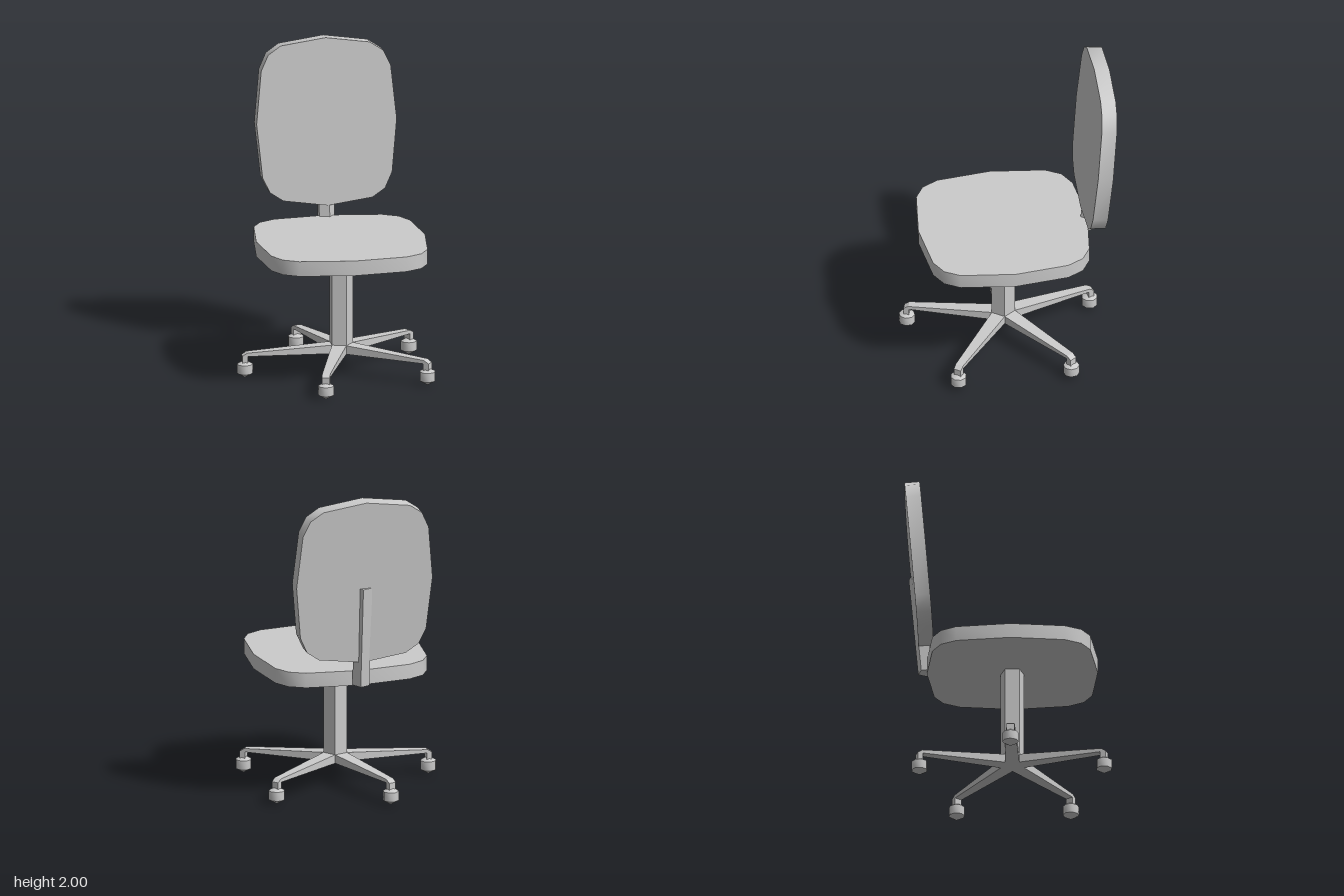
import * as THREE from 'three';
import { toCreasedNormals } from 'three/addons/utils/BufferGeometryUtils.js';

const CX = 0.055, CZ = 0.022; // axis of the column
const smooth = new THREE.MeshStandardMaterial({ color: 0xcccccc });
const flat = new THREE.MeshStandardMaterial({ color: 0xcccccc, flatShading: true });

function part(name, geometry, material) {
  const mesh = new THREE.Mesh(geometry, material);
  mesh.name = name;
  return mesh;
}

// Padded panel with rounded corners, 16 sided, centred on its own middle
function cushion(name, scaleX) {
  const quarter = [[0.53, 0], [0.49, 0.34], [0.435, 0.435], [0.335, 0.49]];
  const points = [];
  for (let q = 0; q < 4; q++) {
    for (const [x, y] of quarter) {
      const p = new THREE.Vector2(x, y).rotateAround(new THREE.Vector2(), q * Math.PI / 2);
      points.push(p.setX(p.x * scaleX));
    }
  }
  const depth = 0.095;
  const geo = new THREE.ExtrudeGeometry(new THREE.Shape(points), { depth, bevelEnabled: false });
  geo.translate(0, 0, -depth / 2);
  return part(name, toCreasedNormals(geo, 0.75), smooth);
}

// Five-sided post with one edge toward +x
function post(name, radius, height) {
  return part(name, new THREE.CylinderGeometry(radius, radius, height, 5, 1, false, Math.PI / 2), flat);
}

// Leg: side profile extruded, then narrowed toward the tip
function legGeometry() {
  const profile = [[0.062, 0.14], [0.585, 0.14], [0.585, 0.09], [0.62, 0.09],
    [0.62, 0.143], [0.59, 0.162], [0.062, 0.195]];
  const shape = new THREE.Shape(profile.map(([x, y]) => new THREE.Vector2(x, y)));
  const geo = new THREE.ExtrudeGeometry(shape, { depth: 2, bevelEnabled: false });
  geo.translate(0, 0, -1);
  const pos = geo.attributes.position;
  for (let i = 0; i < pos.count; i++) {
    const t = (pos.getX(i) - 0.062) / 0.53;
    pos.setZ(i, pos.getZ(i) * THREE.MathUtils.lerp(0.045, 0.025, t));
  }
  return geo;
}

export function createModel() {
  const model = new THREE.Group();
  model.name = 'officeChair';

  // Seat
  const seat = cushion('seat', 1);
  seat.rotation.x = Math.PI / 2;
  seat.position.set(CX, 0.8225, CZ);
  model.add(seat);

  // Leaning backrest and its support bar
  const backrest = cushion('backrest', 0.83);
  backrest.rotation.x = -0.083;
  backrest.position.set(CX, 1.468, -0.555);
  const bar = post('backSupport', 0.056, 0.65);
  bar.rotation.x = -0.09;
  bar.position.set(0.05, 1.105, -0.538);
  model.add(backrest, bar);

  // Column
  const column = post('column', 0.077, 0.65);
  column.position.set(CX, 0.465, CZ);
  model.add(column);

  // Star base with casters
  const legGeo = legGeometry();
  const wheelGeo = toCreasedNormals(new THREE.SphereGeometry(0.058, 8, 3), 0.9);
  for (let i = 0; i < 5; i++) {
    const arm = new THREE.Group();
    arm.name = 'baseArm' + (i + 1);
    const wheel = part('caster', wheelGeo, smooth);
    wheel.position.set(0.602, 0.058, 0);
    arm.add(part('leg', legGeo, flat), wheel);
    arm.rotation.y = (i + 0.5) * Math.PI * 2 / 5;
    arm.position.set(CX, 0, CZ);
    model.add(arm);
  }
  return model;
}
